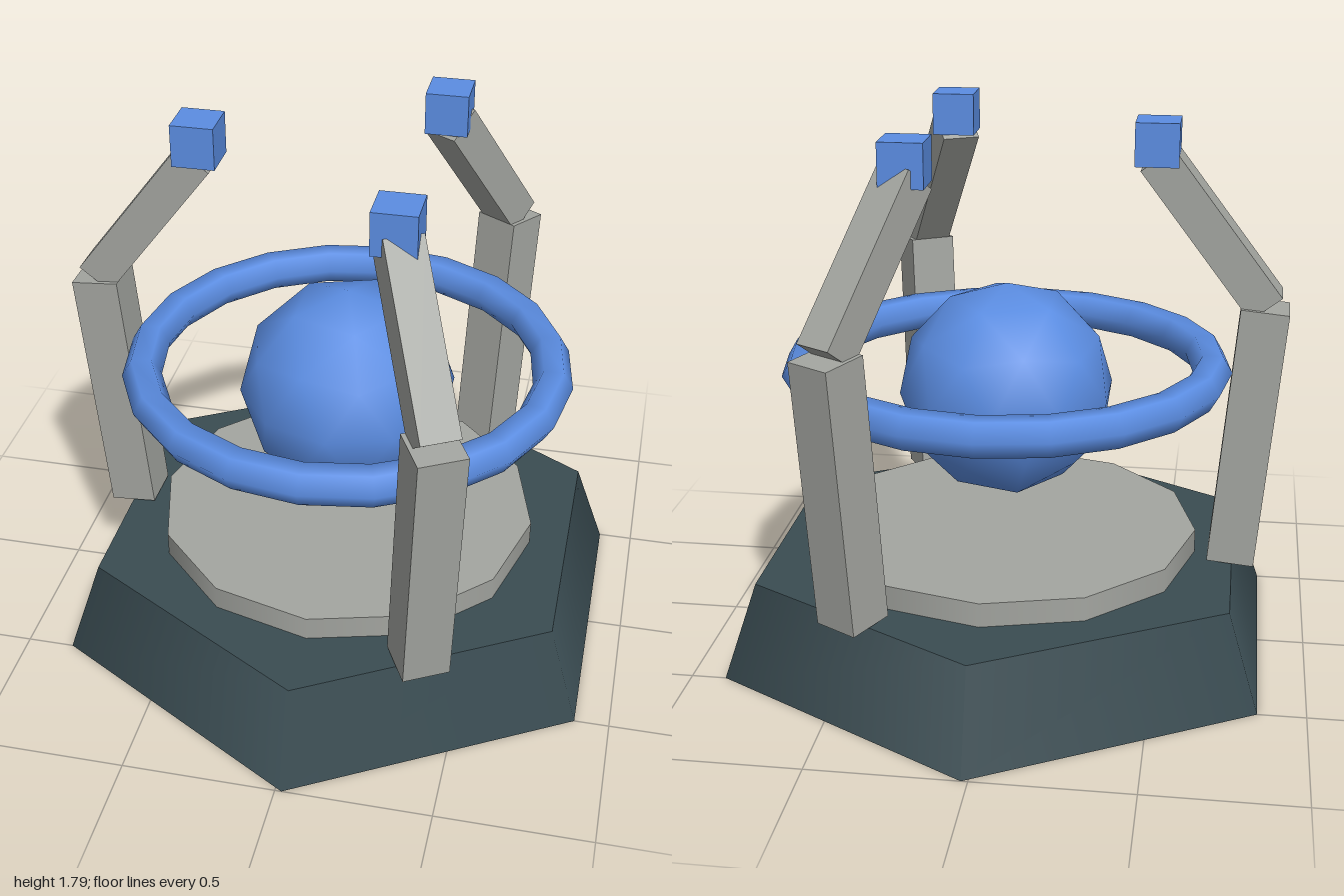
import * as THREE from 'three';

const mat = (name, color) => {
  const m = new THREE.MeshStandardMaterial({ color });
  m.name = name;
  return m;
};

export function createModel() {
  const slate = mat('dark slate', 0x3a4c52);
  const stone = mat('pale grey', 0xa3a5a0);
  const blue = mat('bright blue', 0x5b8de2);

  const model = new THREE.Group();
  model.name = 'orbPedestal';
  const core = new THREE.Group();
  core.name = 'core';
  core.position.x = 0.021;
  model.add(core);

  const add = (parent, name, geometry, material, x = 0, y = 0, z = 0) => {
    const mesh = new THREE.Mesh(geometry, material);
    mesh.name = name;
    mesh.position.set(x, y, z);
    parent.add(mesh);
    return mesh;
  };

  // Six-sided tapered base with a round plate on top
  add(core, 'base', new THREE.CylinderGeometry(0.884, 1, 0.32, 6), slate, 0, 0.16);
  add(core, 'plate', new THREE.CylinderGeometry(0.64, 0.64, 0.08, 12), stone, 0, 0.36);

  // Floating orb, turned so a corner points straight up
  const orb = new THREE.IcosahedronGeometry(0.358, 1);
  orb.rotateZ(-Math.atan(2 / (1 + Math.sqrt(5))));
  add(core, 'orb', orb, blue, 0, 0.883);

  // Ring around the orb
  const ring = new THREE.TorusGeometry(0.676, 0.065, 6, 20);
  ring.rotateX(Math.PI / 2);
  add(core, 'ring', ring, blue, 0, 0.964);

  // Box beam between two [radius, height] points in an arm's plane
  const beam = (parent, name, width, [r0, y0], [r1, y1]) => {
    const length = Math.hypot(r1 - r0, y1 - y0);
    const mesh = add(parent, name, new THREE.BoxGeometry(width, length, width), stone,
      (r0 + r1) / 2, (y0 + y1) / 2);
    mesh.rotation.z = -Math.atan2(r1 - r0, y1 - y0);
  };

  // Three bent arms, each with a level cube at its tip
  for (let i = 0; i < 3; i++) {
    const angle = THREE.MathUtils.degToRad(58.9 + 120 * i);
    const arm = new THREE.Group();
    arm.name = 'arm' + (i + 1);
    arm.rotation.y = angle;
    beam(arm, 'lowerArm', 0.155, [0.761, 0.326], [0.837, 1.2]);
    beam(arm, 'upperArm', 0.126, [0.839, 1.207], [0.481, 1.675]);
    core.add(arm);
    add(core, 'tipCube' + (i + 1), new THREE.BoxGeometry(0.139, 0.139, 0.139), blue,
      0.48 * Math.cos(angle), 1.721, -0.48 * Math.sin(angle));
  }
  return model;
}
